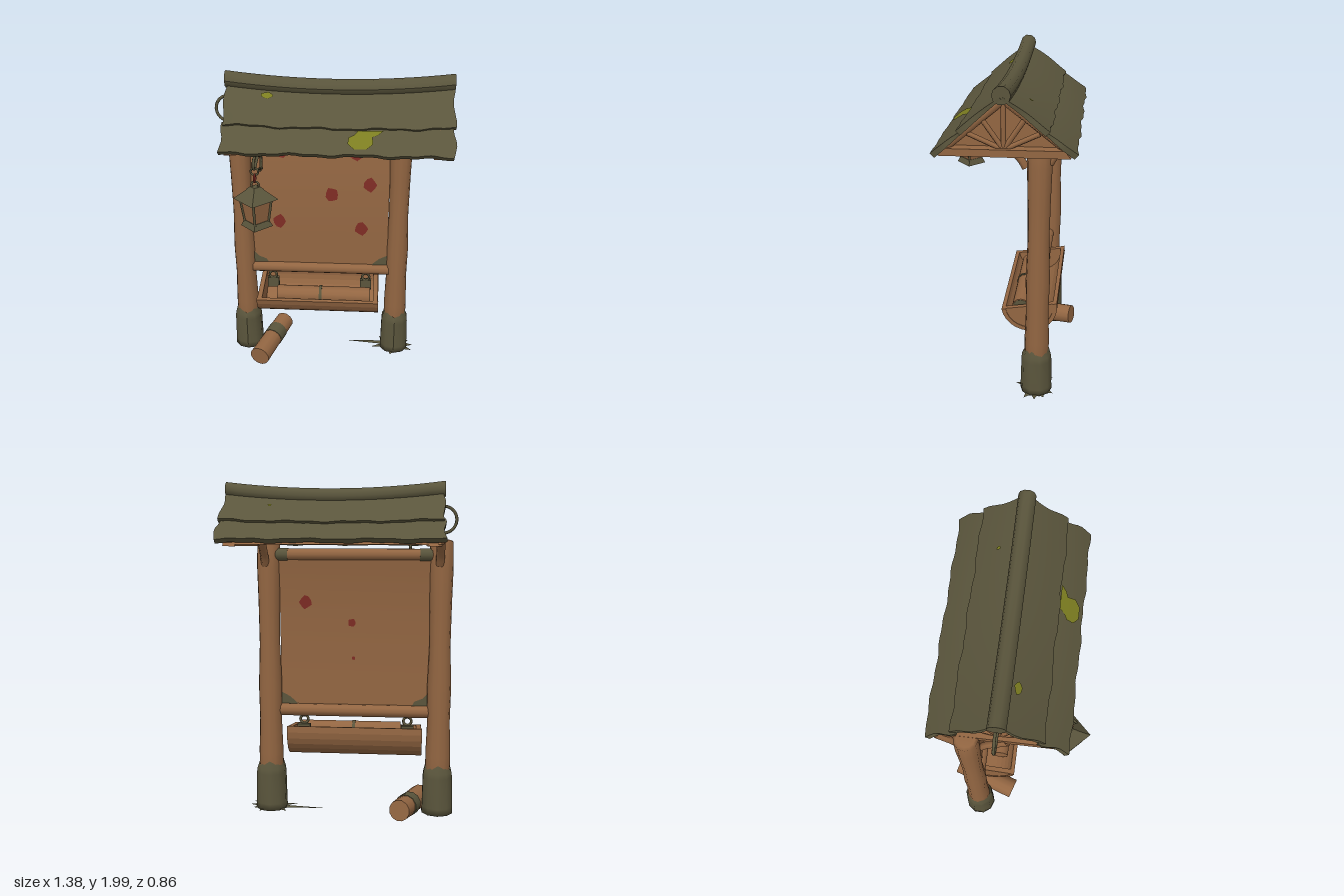
import * as THREE from 'three';

const mat = (name, color, side = THREE.FrontSide) => {
  const m = new THREE.MeshStandardMaterial({ color, side });
  m.name = name;
  return m;
};

export function createModel() {
  const model = new THREE.Group();
  const wood = mat('wood', 0x936642, THREE.DoubleSide);
  const moss = mat('moss', 0x5a553c, THREE.DoubleSide);
  const lime = mat('lime', 0x7c7d20, THREE.DoubleSide);
  const red = mat('red', 0x7e2c24, THREE.DoubleSide);
  const V = (x, y, z) => new THREE.Vector3(x, y, z);

  const add = (name, geo, material, x = 0, y = 0, z = 0) => {
    const m = new THREE.Mesh(geo, material);
    m.name = name;
    m.position.set(x, y, z);
    model.add(m);
    return m;
  };
  // round bar between two points
  const bar = (name, a, b, r0, r1, material, sides = 10) => {
    const d = b.clone().sub(a);
    const m = add(name, new THREE.CylinderGeometry(r1, r0, d.length(), sides), material);
    m.position.copy(a).addScaledVector(d, 0.5);
    m.quaternion.setFromUnitVectors(V(0, 1, 0), d.normalize());
    return m;
  };
  const lathe = (pts, sides) => new THREE.LatheGeometry(pts.map(p => new THREE.Vector2(...p)), sides);
  const tube = (name, pts, r, material) =>
    add(name, new THREE.TubeGeometry(new THREE.CatmullRomCurve3(pts), 32, r, 6), material);
  // outline given as [z, y], stretched along x
  const extrudeX = (pts, x0, x1) => {
    const s = new THREE.Shape(pts.map(([z, y]) => new THREE.Vector2(-z, y)));
    return new THREE.ExtrudeGeometry(s, { depth: x1 - x0, bevelEnabled: false })
      .rotateY(Math.PI / 2).translate(x0, 0, 0);
  };
  const move = (geo, rule) => {
    const p = geo.attributes.position;
    for (let i = 0; i < p.count; i++) {
      const v = rule(p.getX(i), p.getY(i), p.getZ(i));
      p.setXYZ(i, v.x, v.y, v.z);
    }
    geo.computeVertexNormals();
    return geo;
  };
  const flat = (pts) => new THREE.ShapeGeometry(new THREE.Shape(pts.map(p => new THREE.Vector2(...p))));
  const blob = (x, y, rx, ry, n = 9) => Array.from({ length: n }, (_, i) => {
    const a = i / n * Math.PI * 2, k = 1 + 0.12 * Math.sin(i * 2.6 + x * 9);
    return [x + Math.cos(a) * rx * k, y + Math.sin(a) * ry * k];
  });

  // posts with mossy boots
  for (const [x, top] of [[-0.592, 1.66], [0.405, 1.645]]) {
    add('post', lathe([[0, 0.06], [0.07, 0.06], [0.073, 0.4], [0.066, 0.6], [0.07, 0.8], [0.061, 1.05],
      [0.064, 1.3], [0.069, 1.5], [0.066, top - 0.01], [0.05, top], [0, top]], 12), wood, x, 0, -0.225);
    const boot = lathe([[0, 0.05], [0.096, 0.05], [0.094, 0.09], [0.09, 0.27], [0.086, 0.3], [0.072, 0.335]], 10);
    move(boot, (a, y, c) => V(a, y > 0.32 ? y + 0.018 * Math.sin(Math.atan2(c, a) * 3) : y, c));
    add('postBoot', boot, moss, x, 0, -0.225);
    // braces under the roof
    tube('frontBrace', [V(x + 0.01, 1.49, -0.15), V(x + 0.01, 1.54, -0.12), V(x + 0.01, 1.64, -0.01)], 0.022, wood);
    tube('backBrace', [V(x + 0.01, 1.52, -0.28), V(x + 0.01, 1.57, -0.31), V(x + 0.01, 1.65, -0.38)], 0.024, wood);
  }
  // grass star round the right boot
  const star = [];
  for (let i = 0; i < 22; i++) {
    const a = i / 22 * Math.PI * 2, r = i % 2 ? 0.085 : 0.125 + 0.025 * Math.sin(i * 1.7);
    star.push(i === 10 ? [-0.34, 0.03] : [Math.cos(a) * r * 1.05, Math.sin(a) * r * 0.85]);
  }
  add('grassTuft', flat(star).rotateX(-Math.PI / 2), moss, 0.405, 0.056, -0.225);

  // bowed hanging panel between rails
  const panelZ = y => -0.21 - 0.045 * Math.pow(Math.max(0, (y - 0.69) / 0.87), 3);
  const panel = new THREE.PlaneGeometry(0.88, 0.9, 1, 14).translate(-0.098, 1.13, 0);
  add('panel', move(panel, (x, y) => V(x, y, panelZ(y))), wood);
  bar('topRail', V(-0.55, 1.575, -0.235), V(0.36, 1.575, -0.235), 0.036, 0.036, wood);
  bar('bottomRail', V(-0.54, 0.655, -0.215), V(0.355, 0.655, -0.215), 0.037, 0.037, wood);
  const onPanel = (name, pts, material, side) =>
    add(name, move(flat(pts), (x, y) => V(x, y, panelZ(y) + side * 0.005)), material);
  for (const [x, y] of [[-0.33, 1.46], [0.13, 1.45], [0.22, 1.25], [-0.02, 1.18], [-0.355, 0.99], [0.17, 0.95]])
    onPanel('redSpot', blob(x, y, 0.04, 0.046), red, 1);
  for (const [x, y, r] of [[0.19, 1.3, 0.035], [-0.08, 1.18, 0.022], [-0.09, 0.97, 0.01]])
    onPanel('backRedSpot', blob(x, y, r, r * 1.1), red, -1);
  for (const side of [1, -1]) {
    onPanel('mossCorner', [[-0.535, 0.68], [-0.43, 0.68], [-0.45, 0.715], [-0.5, 0.735], [-0.535, 0.775]], moss, side);
    onPanel('mossCorner', [[0.34, 0.68], [0.34, 0.76], [0.29, 0.735], [0.25, 0.7], [0.24, 0.68]], moss, side);
  }
  for (const x of [-0.505, 0.325]) bar('railMoss', V(x - 0.035, 1.575, -0.235), V(x + 0.035, 1.575, -0.235), 0.039, 0.039, moss);

  // roof surface: s runs from ridge to eave, h is height above it
  const sag = x => 0.04 * (1 - ((x - 0.035) / 0.65) ** 2);
  const roofPoint = (side, s, x, h) => {
    const z = -0.055 + s * (side > 0 ? 0.335 : -0.35);
    const y = 1.935 - s * (side > 0 ? 0.31 : 0.285) - sag(x) * (1 - s);
    return V(x, y + h * 0.72, z + side * h * 0.69);
  };
  const plankTop = v => 0.012 + 0.02 * v + 0.005 * Math.sin(Math.PI * v);
  const ranges = [[0, 0.63], [0.58, 1.02]];
  for (const side of [1, -1]) ranges.forEach(([s0, s1], k) => {
    const g = new THREE.BoxGeometry(1, 1, 1, 40, 1, 6);
    move(g, (bx, by, bz) => {
      const v = 0.5 + side * bz, end = 0.008 * Math.sin(v * 7 + k * 2 + bx * 3);
      const x = 0.037 + bx * (1.285 + 2 * end);
      const s = s0 + v * (s1 - s0) + (v > 0.9 ? 0.012 * Math.sin(x * 17 + k * 2) + 0.008 * Math.sin(x * 41 + side) : 0);
      return roofPoint(side, s, x, by > 0 ? plankTop(v) : 0);
    });
    add('roofPlank', g, moss);
  });
  // ridge log follows the sag
  const ridge = new THREE.CylinderGeometry(0.048, 0.048, 1.3, 10, 16).rotateZ(Math.PI / 2).translate(0.035, 1.952, -0.055);
  add('ridgeCap', move(ridge, (x, y, z) => V(x, y - sag(x), z)), moss);
  // lichen patches on the roof
  const lichen = (pts, side, k) => {
    const [s0, s1] = ranges[k];
    add('lichen', move(flat(pts), (x, y) => roofPoint(side, -y, x, plankTop((-y - s0) / (s1 - s0)) + 0.007)), lime);
  };
  lichen(blob(-0.37, -0.17, 0.035, 0.05), 1, 0);
  lichen([[0.29, -0.65], [0.26, -0.72], [0.23, -0.75], [0.235, -0.86], [0.2, -0.94], [0.13, -0.94], [0.095, -0.86],
    [0.1, -0.76], [0.13, -0.72], [0.15, -0.65]], 1, 1);
  lichen(blob(0.405, -0.28, 0.012, 0.03, 6), -1, 0);

  // timber body under the roof with gable frames
  add('roofBody', extrudeX([[0.27, 1.622], [-0.055, 1.885], [-0.4, 1.635]], -0.53, 0.575), wood);
  for (const x of [-0.55, 0.6]) {
    add('tieBeam', extrudeX([[0.28, 1.615], [0.25, 1.655], [-0.37, 1.665], [-0.4, 1.625]], x - 0.035, x + 0.035), wood);
    bar('frontRafter', V(x, 1.91, -0.055), V(x, 1.64, 0.26), 0.022, 0.022, wood, 6);
    bar('backRafter', V(x, 1.91, -0.055), V(x, 1.65, -0.39), 0.022, 0.022, wood, 6);
    for (const [z, y] of [[-0.055, 1.89], [0.05, 1.8], [-0.16, 1.81], [0.13, 1.73], [-0.24, 1.74]])
      bar('gableStrut', V(x, 1.65, -0.055), V(x, y, z), 0.014, 0.014, wood, 6);
  }
  // iron loop on the left gable
  add('gableRing', new THREE.TorusGeometry(0.078, 0.009, 6, 24), moss, -0.605, 1.775, -0.065);

  // iron lantern arm
  const lx = -0.415, lz = 0.295;
  const P = (z, y) => V(lx, y, z);
  bar('armUpright', P(0.055, 1.45), P(0.055, 1.64), 0.009, 0.009, moss, 6);
  tube('lanternArm', [P(0, 1.565), P(-0.022, 1.58), P(0, 1.604), P(0.06, 1.6), P(0.2, 1.598), P(0.31, 1.6),
    P(0.33, 1.57), P(0.3, 1.545), P(0.22, 1.56), P(0.13, 1.585)], 0.008, moss);
  tube('armScroll', [P(0.16, 1.57), P(0.1, 1.56), P(0.06, 1.52), P(0.07, 1.47), P(0.1, 1.46), P(0.12, 1.48)], 0.008, moss);
  [[1.53, 0], [1.49, 1], [1.45, 0]].forEach(([y, k]) => {
    const link = add('chainLink', new THREE.TorusGeometry(0.021, 0.006, 6, 14), k ? red : moss, lx, y, lz);
    link.rotation.y = k ? Math.PI / 2 : 0;
  });
  // lantern: square, corners along the axes
  const square = (name, top, bottom, y0, y1, material) => {
    const g = new THREE.CylinderGeometry(top, bottom, y1 - y0, 4).toNonIndexed();
    g.computeVertexNormals();
    add(name, g, material, lx, (y0 + y1) / 2, lz);
  };
  square('lanternRoof', 0.045, 0.128, 1.365, 1.425, moss);
  square('lanternCap', 0.03, 0.05, 1.425, 1.44, moss);
  square('lanternBody', 0.088, 0.065, 1.22, 1.367, wood);
  square('lanternFoot', 0.072, 0.092, 1.2, 1.235, moss);
  for (const [a, b] of [[1, 0], [-1, 0], [0, 1], [0, -1]])
    bar('lanternFrame', V(lx + a * 0.066, 1.22, lz + b * 0.066), V(lx + a * 0.089, 1.367, lz + b * 0.089), 0.008, 0.008, moss, 5);

  // half-log trough, open at the top and tipped forward
  const arc = (r, n = 14) => Array.from({ length: n + 1 }, (_, i) => {
    const a = Math.PI * (1 + i / n) + 0.18;
    return [-0.165 - Math.cos(a) * r, 0.55 + Math.sin(a) * r];
  });
  add('trough', extrudeX([...arc(0.17), ...arc(0.145).reverse()], -0.495, 0.292), wood);
  add('troughEnd', extrudeX(arc(0.165), -0.492, -0.462), wood);
  add('troughEnd', extrudeX(arc(0.165), 0.258, 0.288), wood);
  // tied roll lying in the trough
  bar('roll', V(-0.37, 0.51, -0.11), V(0.235, 0.51, -0.11), 0.055, 0.055, wood, 12);
  bar('rollEnd', V(0.232, 0.51, -0.11), V(0.238, 0.51, -0.11), 0.05, 0.05, moss, 12);
  bar('rollTie', V(-0.095, 0.51, -0.11), V(-0.078, 0.51, -0.11), 0.06, 0.06, moss, 12);
  for (const x of [-0.41, 0.205]) {
    add('troughHanger', new THREE.BoxGeometry(0.075, 0.07, 0.03), moss, x, 0.535, -0.22);
    add('hangerRing', new THREE.TorusGeometry(0.024, 0.008, 6, 12), moss, x, 0.595, -0.21);
  }

  // loose log on the ground with a moss band
  const a = V(-0.495, 0.068, -0.01), b = V(-0.37, 0.11, -0.4);
  bar('groundLog', a, b, 0.067, 0.062, wood, 12);
  bar('logMoss', a.clone().lerp(b, 0.5), a.clone().lerp(b, 0.72), 0.068, 0.067, moss, 12);
  return model;
}
